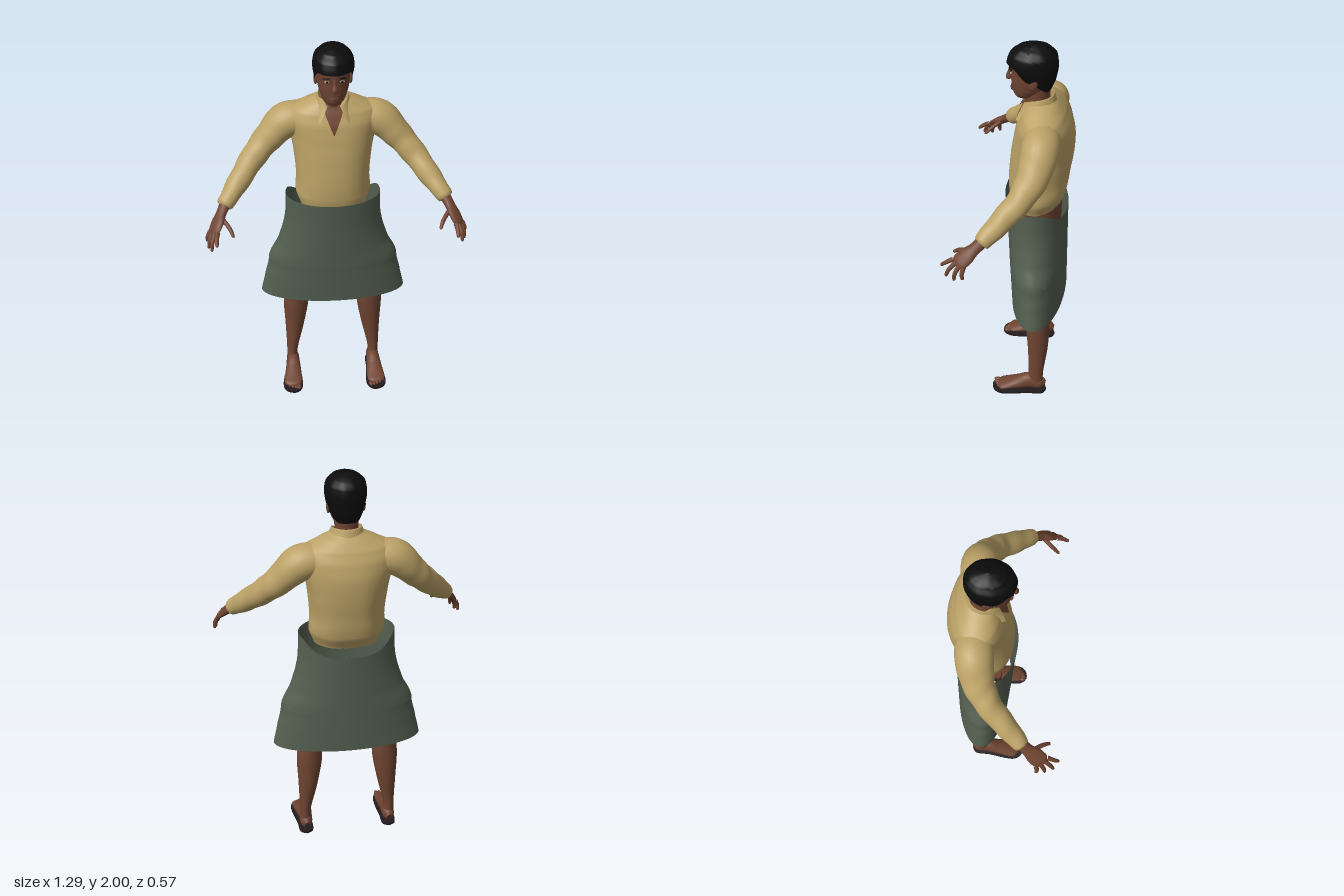
import * as THREE from 'three';
import { ParametricGeometry } from 'three/addons/geometries/ParametricGeometry.js';

const V = (x, y, z) => new THREE.Vector3(x, y, z);
const lerp = THREE.MathUtils.lerp, smooth = THREE.MathUtils.smoothstep;

// Body cross-sections: rows of [y, front z, back z, half width], splined over y
function profile(rows) {
  const curve = new THREE.CatmullRomCurve3(rows.map(r => V(r[1], r[2], r[3])), false, 'catmullrom', 0.4);
  const n = rows.length - 1;
  return y => {
    let i = 0;
    while (i < n - 1 && y > rows[i + 1][0]) i++;
    const f = THREE.MathUtils.clamp((y - rows[i][0]) / (rows[i + 1][0] - rows[i][0]), 0, 1);
    return curve.getPoint((i + f) / n);
  };
}

// Closed surface around y; bottom and top edges may vary with the angle (0 = front)
function shell(section, bottom, top, nu, nv, power = 1, ripple = () => 0) {
  return new ParametricGeometry((u, v, out) => {
    const a = u * Math.PI * 2, s = Math.sin(a), c = Math.cos(a);
    const y = lerp(bottom(c), top(c), v), p = section(y), k = 1 + ripple(a, y);
    out.set(Math.sign(s) * Math.abs(s) ** power * p.z * k, y, (p.x + p.y) / 2 + (p.x - p.y) / 2 * c * k);
  }, nu, nv);
}

// Tapered limb: rows of [x, y, z, radius across, radius along], rounded at its far end
function limb(rows, { side = 1, ref = [0, 0, 1], cap = 0.08, nu = 20, nv = 28, ripple = () => 0 } = {}) {
  const path = new THREE.CatmullRomCurve3(rows.map(r => V(r[0] * side, r[1], r[2])));
  path.curveType = 'catmullrom';
  const size = new THREE.CatmullRomCurve3(rows.map(r => V(r[3], r[4] ?? r[3], 0)), false, 'catmullrom');
  const up = V(ref[0] * side, ref[1], ref[2]);
  return new ParametricGeometry((u, v, out) => {
    const a = u * Math.PI * 2, t = path.getTangent(v), r = size.getPoint(v);
    const n = up.clone().cross(t).normalize(), b = t.clone().cross(n);
    const e = v > 1 - cap ? Math.sqrt(Math.max(0.0004, 1 - ((v - 1 + cap) / cap) ** 2)) : 1;
    const k = e * (1 + ripple(a, v));
    out.copy(path.getPoint(v)).addScaledVector(n, Math.cos(a) * r.x * k).addScaledVector(b, Math.sin(a) * r.y * k);
  }, nu, nv);
}

export function createModel() {
  const model = new THREE.Group();
  const mat = (name, color, side = THREE.FrontSide) => {
    const m = new THREE.MeshStandardMaterial({ color, side });
    m.name = name;
    return m;
  };
  const skin = mat('skin', 0x704532), lip = mat('lips', 0x5c332a), hairMat = mat('hair', 0x0c0c0d);
  const shirt = mat('shirt cloth', 0xbca267, THREE.DoubleSide), cloth = mat('skirt cloth', 0x535f50, THREE.DoubleSide);
  const sole = mat('sandal', 0x231c1e), white = mat('eye white', 0xa89c92);
  const add = (name, geo, m) => {
    const mesh = new THREE.Mesh(geo, m);
    mesh.name = name;
    model.add(mesh);
    return mesh;
  };
  const blob = (name, m, pos, size) => {
    const mesh = add(name, new THREE.SphereGeometry(1, 16, 12), m);
    mesh.position.set(...pos);
    mesh.scale.set(...size);
    return mesh;
  };

  // Shirt body with soft folds
  const power = 0.85;
  const torso = profile([
    [1.13, 0.02, -0.21, 0.165], [1.2, 0.035, -0.25, 0.186], [1.3, 0.035, -0.265, 0.184],
    [1.42, 0.025, -0.28, 0.195], [1.52, 0.01, -0.282, 0.212], [1.6, -0.005, -0.265, 0.23],
    [1.65, -0.025, -0.24, 0.215], [1.69, -0.045, -0.21, 0.14], [1.72, -0.06, -0.18, 0.07]]);
  const folds = (a, y) => 0.012 * Math.sin(6 * a + 9 * y) * smooth(-Math.cos(a), -0.5, 0.6) * (1 - smooth(y, 1.5, 1.65))
    + 0.008 * Math.sin(38 * y + 3 * Math.cos(a)) * (1 - smooth(y, 1.2, 1.34));
  add('shirtBody', shell(torso, () => 1.13, () => 1.72, 64, 40, power, folds), shirt);

  // Skin in the open neck of the shirt
  add('neckOpening', new ParametricGeometry((u, v, out) => {
    const y = lerp(1.56, 1.7, v), p = torso(y), x = (2 * u - 1) * (0.002 + 0.055 * v);
    const s = Math.min(1, Math.abs(x) / p.z) ** (1 / power);
    out.set(x, y, (p.x + p.y) / 2 + (p.x - p.y) / 2 * Math.sqrt(1 - s * s) + 0.004);
  }, 10, 12), skin);

  // Folded collar, open at the front, with low points
  add('collar', new ParametricGeometry((u, v, out) => {
    const k = 2 * u - 1, front = Math.abs(k) ** 3, fall = Math.max(0, v * 2 - 1), rise = Math.min(1, v * 2);
    const a = Math.PI + k * (Math.PI - lerp(0.42, 0.72, fall));
    const topY = lerp(1.748, 1.7, front), outY = lerp(1.695, 1.62, front);
    const y = v < 0.5 ? lerp(topY - 0.05, topY, rise) : lerp(topY, outY, fall);
    const r = v < 0.5 ? 0.07 : lerp(0.073, lerp(0.09, 0.106, front), fall);
    out.set(Math.sin(a) * r, y, -0.105 + Math.cos(a) * r * (1 + 0.28 * front * fall));
  }, 40, 12), shirt);

  // Neck and head
  add('neck', limb([[0, 1.79, -0.1, 0.06, 0.062], [0, 1.71, -0.1, 0.058, 0.06], [0, 1.6, -0.11, 0.075, 0.07]]), skin);
  const skull = profile([
    [1.716, -0.012, -0.05, 0.01], [1.724, 0.004, -0.08, 0.035], [1.745, 0.016, -0.11, 0.054], [1.78, 0.022, -0.15, 0.069],
    [1.82, 0.027, -0.168, 0.078], [1.86, 0.03, -0.175, 0.082], [1.9, 0.034, -0.18, 0.085],
    [1.95, 0.015, -0.175, 0.076], [1.985, -0.03, -0.13, 0.03]]);
  add('head', shell(skull, () => 1.716, () => 1.985, 40, 32), skin);
  add('nose', limb([[0, 1.88, 0.026, 0.009], [0, 1.85, 0.032, 0.01], [0, 1.825, 0.037, 0.015], [0, 1.808, 0.034, 0.014]],
    { cap: 0.2 }), skin);
  blob('upperLip', lip, [0, 1.771, 0.021, 0], [0.026, 0.006, 0.008]);
  blob('lowerLip', lip, [0, 1.76, 0.019, 0], [0.022, 0.006, 0.008]);

  // Hair cap with a hairline that falls from the brow to the nape
  const cap = profile([
    [1.77, -0.03, -0.165, 0.068], [1.83, 0.03, -0.186, 0.088], [1.9, 0.046, -0.197, 0.1],
    [1.95, 0.033, -0.19, 0.094], [1.98, 0, -0.165, 0.068], [1.994, -0.035, -0.135, 0.038], [2, -0.08, -0.09, 0.002]]);
  const hairline = c => c > 0.15 ? lerp(1.84, 1.902, smooth(c, 0.15, 0.7)) : lerp(1.84, 1.772, smooth(-c, -0.15, 0.8));
  const hairMesh = add('hair', shell(cap, hairline, () => 2, 56, 24, 1,
    (a, y) => 0.01 * Math.sin(9 * a + 20 * y)), hairMat);
  hairMesh.material.side = THREE.DoubleSide;

  // Skirt: flared wrap, its rim dipping at the back
  const wrap = profile([
    [0.56, 0.015, -0.26, 0.379], [0.67, 0.022, -0.26, 0.356], [0.75, 0.027, -0.26, 0.338], [0.79, 0.03, -0.26, 0.332],
    [0.89, 0.036, -0.26, 0.285], [1, 0.042, -0.26, 0.254], [1.06, 0.046, -0.26, 0.244], [1.18, 0.054, -0.26, 0.24]]);
  add('skirt', shell(wrap, () => 0.56, c => 1.18 - 0.08 * smooth(-c, 0.25, 1), 72, 40), cloth);

  for (const side of [1, -1]) {
    const X = x => x * side, tag = side > 0 ? 'left' : 'right';

    // Face details
    blob(tag + 'Eye', white, [X(0.036), 1.862, 0.022], [0.013, 0.006, 0.006]);
    blob(tag + 'Pupil', hairMat, [X(0.036), 1.862, 0.0262], [0.006, 0.006, 0.003]);
    const brow = blob(tag + 'Brow', hairMat, [X(0.038), 1.881, 0.025], [0.019, 0.004, 0.006]);
    brow.rotation.set(0, X(0.35), X(-0.12));
    const ear = blob(tag + 'Ear', skin, [X(0.084), 1.832, -0.088], [0.01, 0.034, 0.02]);
    ear.rotation.x = -0.2;

    // Sleeve
    add(tag + 'Sleeve', limb([
      [0.12, 1.595, -0.14, 0.075, 0.085], [0.23, 1.575, -0.14, 0.088, 0.092], [0.32, 1.49, -0.12, 0.071, 0.08],
      [0.4, 1.405, -0.07, 0.062, 0.064], [0.48, 1.315, 0.02, 0.053, 0.055], [0.553, 1.236, 0.105, 0.038, 0.04]],
    { side, cap: 0.03, nu: 28, nv: 48, ripple: (a, v) => 0.03 * Math.sin(34 * v + 2 * Math.sin(a)) * smooth(v, 0.2, 0.5) }), shirt);

    // Hand, palm turned down and in
    const ref = [0.66, 0.71, 0.24];
    add(tag + 'Palm', limb([
      [0.54, 1.25, 0.09, 0.03, 0.026], [0.563, 1.216, 0.13, 0.031, 0.022],
      [0.582, 1.187, 0.165, 0.043, 0.019], [0.606, 1.145, 0.21, 0.04, 0.013]], { side, ref, cap: 0.15 }), skin);
    const fingers = [
      ['Thumb', [0.56, 1.205, 0.15], [0.523, 1.178, 0.2], [0.503, 1.145, 0.238]],
      ['IndexFinger', [0.581, 1.166, 0.222], [0.586, 1.148, 0.255], [0.585, 1.125, 0.285]],
      ['MiddleFinger', [0.593, 1.16, 0.205], [0.608, 1.125, 0.24], [0.613, 1.083, 0.258]],
      ['RingFinger', [0.607, 1.154, 0.188], [0.623, 1.115, 0.21], [0.628, 1.073, 0.216]],
      ['LittleFinger', [0.617, 1.15, 0.17], [0.632, 1.118, 0.177], [0.635, 1.088, 0.172]]];
    for (const [name, a, b, c] of fingers)
      add(tag + name, limb([[...a, 0.012], [...b, 0.0105], [...c, 0.0075]], { side, ref, cap: 0.12, nu: 10, nv: 14 }), skin);

    // Leg, thigh to ankle
    add(tag + 'Leg', limb([
      [0.11, 1.05, -0.12, 0.1, 0.1], [0.15, 0.8, -0.12, 0.09, 0.09], [0.19, 0.56, -0.131, 0.062, 0.068],
      [0.198, 0.45, -0.135, 0.066, 0.063], [0.208, 0.3, -0.138, 0.05, 0.053],
      [0.223, 0.14, -0.132, 0.03, 0.039], [0.224, 0.05, -0.13, 0.03, 0.04]], { side, nv: 40, cap: 0.04 }), skin);

    // Foot and toes
    add(tag + 'Foot', limb([
      [0.222, 0.05, -0.183, 0.012, 0.018], [0.222, 0.055, -0.155, 0.031, 0.037], [0.222, 0.064, -0.1, 0.035, 0.047],
      [0.224, 0.05, -0.04, 0.042, 0.034], [0.228, 0.035, 0.03, 0.048, 0.019], [0.231, 0.028, 0.075, 0.042, 0.011]],
    { side, ref: [0, 1, 0], cap: 0.12 }), skin);
    for (let i = 0; i < 5; i++)
      blob(tag + 'Toe' + (i + 1), skin, [X(0.198 + i * 0.0165), 0.025, 0.078 - i * i * 0.0022],
        [i ? 0.009 : 0.012, 0.01, 0.019]);

    // Flat sandal sole
    const outline = new THREE.Shape();
    outline.setFromPoints(new THREE.SplineCurve([
      [0.222, 0.188], [0.256, 0.165], [0.262, 0.09], [0.278, 0], [0.28, -0.055], [0.255, -0.092],
      [0.21, -0.1], [0.18, -0.065], [0.176, 0], [0.185, 0.09], [0.188, 0.165], [0.222, 0.188]]
      .map(([x, y]) => new THREE.Vector2(X(x), y))).getPoints(44).slice(0, -1));
    const geo = new THREE.ExtrudeGeometry(outline, { depth: 0.014, bevelEnabled: false });
    add(tag + 'Sandal', geo.rotateX(-Math.PI / 2), sole);
  }
  return model;
}
